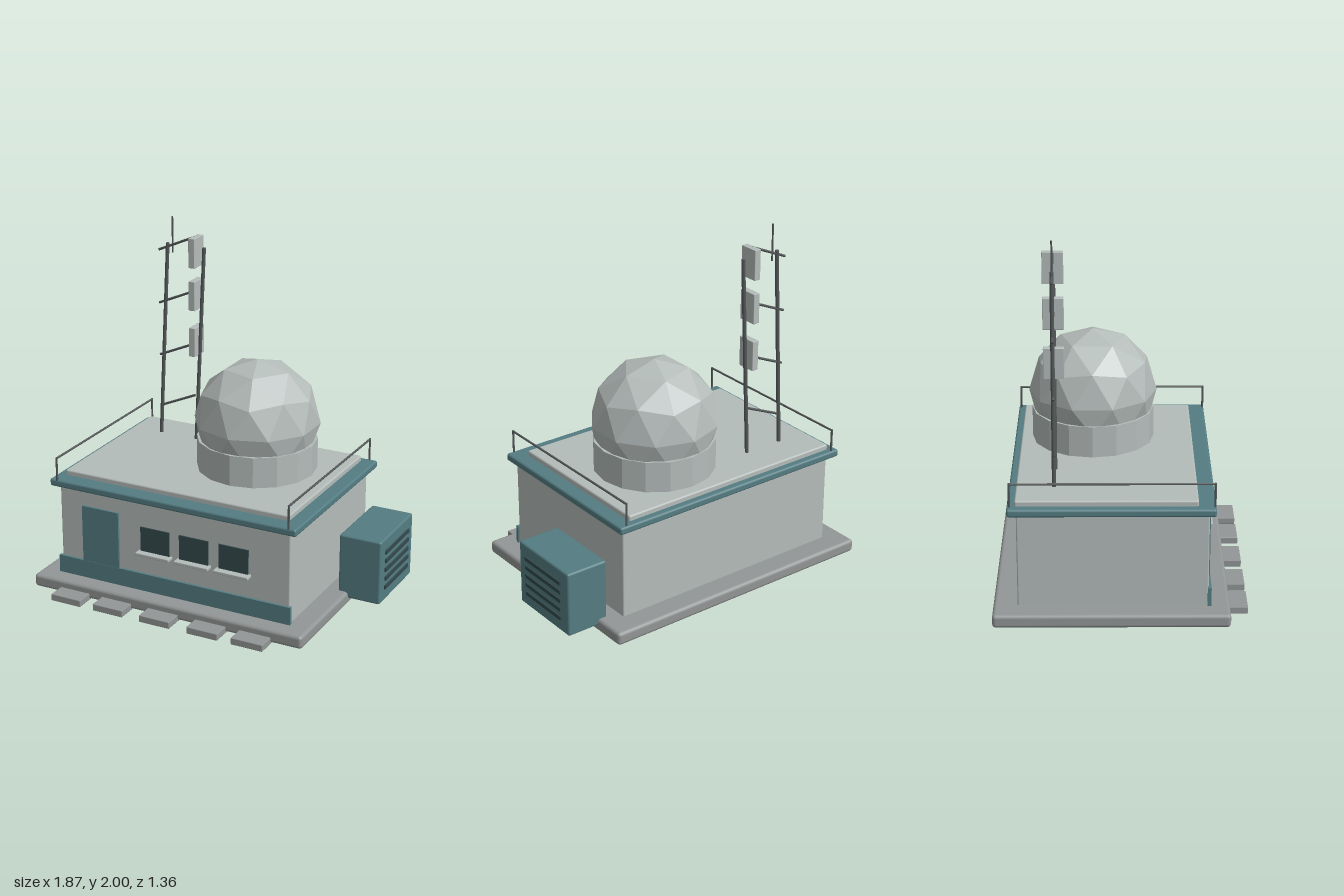
import * as THREE from 'three';
import { RoundedBoxGeometry } from 'three/addons/geometries/RoundedBoxGeometry.js';

const mat = (name, color) => {
  const m = new THREE.MeshStandardMaterial({ color });
  m.name = name;
  return m;
};

export function createModel() {
  const light = mat('light grey', 0xb4bcba);
  const concrete = mat('concrete grey', 0x939696);
  const teal = mat('teal', 0x547d83);
  const darkTeal = mat('dark teal', 0x344a4d);
  const metal = mat('dark metal', 0x55595a);

  const model = new THREE.Group();
  model.name = 'radarStation';

  const add = (name, geometry, material, parent = model) => {
    const mesh = new THREE.Mesh(geometry, material);
    mesh.name = name;
    parent.add(mesh);
    return mesh;
  };
  const group = (name) => {
    const g = new THREE.Group();
    g.name = name;
    model.add(g);
    return g;
  };
  // Box given by its limits on each axis; a radius rounds its edges
  const box = (name, [x0, x1], [y0, y1], [z0, z1], material, radius = 0, parent = model) => {
    const size = [x1 - x0, y1 - y0, z1 - z0];
    const geometry = radius
      ? new RoundedBoxGeometry(...size, 2, radius)
      : new THREE.BoxGeometry(...size);
    const mesh = add(name, geometry, material, parent);
    mesh.position.set((x0 + x1) / 2, (y0 + y1) / 2, (z0 + z1) / 2);
    return mesh;
  };
  // Round bar between two points
  const rod = (name, from, to, radius, parent) => {
    const a = new THREE.Vector3(...from), b = new THREE.Vector3(...to);
    const dir = b.clone().sub(a);
    const mesh = add(name, new THREE.CylinderGeometry(radius, radius, dir.length(), 8), metal, parent);
    mesh.position.copy(a).add(b).multiplyScalar(0.5);
    mesh.quaternion.setFromUnitVectors(new THREE.Vector3(0, 1, 0), dir.normalize());
  };
  const faceted = (geometry) => {
    const g = geometry.index ? geometry.toNonIndexed() : geometry;
    g.computeVertexNormals();
    return g;
  };

  // Foundation and paving stones
  box('foundation', [-0.935, 0.74], [0.007, 0.082], [-0.68, 0.575], concrete, 0.02);
  const paving = group('pavingStones');
  for (const x of [-0.665, -0.395, -0.1, 0.195, 0.465]) {
    box('pavingStone', [x - 0.094, x + 0.094], [0, 0.04], [0.55, 0.675], concrete, 0.004, paving);
  }

  // Building
  box('walls', [-0.812, 0.615], [0.07, 0.62], [-0.55, 0.46], light, 0.008);
  box('plinthBand', [-0.825, 0.625], [0.08, 0.185], [0.455, 0.475], teal);
  box('door', [-0.667, -0.435], [0.08, 0.518], [0.455, 0.473], teal);
  const windows = group('windows');
  for (const x of [-0.205, 0.037, 0.28]) {
    box('windowPane', [x - 0.09, x + 0.09], [0.318, 0.465], [0.461, 0.469], darkTeal, 0, windows);
    box('windowSill', [x - 0.105, x + 0.105], [0.304, 0.322], [0.455, 0.507], light, 0.004, windows);
  }

  // Roof
  box('roofTrim', [-0.86, 0.66], [0.61, 0.653], [-0.597, 0.493], teal, 0.012);
  box('roofSlab', [-0.812, 0.577], [0.64, 0.683], [-0.557, 0.402], light, 0.01);
  for (const x of [-0.815, 0.615]) {
    const rail = group('roofRail');
    rod('railBar', [x, 0.78, -0.585], [x, 0.78, 0.488], 0.006, rail);
    for (const z of [-0.583, 0.486]) {
      rod('railPost', [x, 0.645, z], [x, 0.785, z], 0.006, rail);
    }
  }

  // Radar dome on its drum
  const radar = group('radarDome');
  radar.position.set(0.11, 0, -0.155);
  add('domeDrum', faceted(new THREE.CylinderGeometry(0.34, 0.34, 0.19, 16)), light, radar).position.y = 0.765;
  const dome = new THREE.IcosahedronGeometry(0.3565, 1);
  dome.rotateZ(-0.5536); // put a corner at the top
  add('dome', faceted(dome), light, radar).position.y = 0.9585;

  // Ventilation unit with slats
  const unit = group('ventilationUnit');
  box('unitCase', [0.68, 0.929], [0.045, 0.422], [-0.49, -0.032], teal, 0.012, unit);
  for (let i = 0; i < 5; i++) {
    const y = 0.127 + i * 0.0535;
    box('ventSlat', [0.925, 0.937], [y - 0.011, y + 0.011], [-0.425, -0.094], darkTeal, 0, unit);
  }

  // Leaning ladder mast with aerials
  const mast = group('mast');
  const z = -0.355;
  for (const x of [-0.622, -0.388]) {
    rod('mastLeg', [x, 0.67, z], [x + 0.058, 1.843, z], 0.011, mast);
  }
  for (let i = 0; i < 4; i++) {
    const y = 0.852 + i * 0.315;
    rod('mastRung', [-0.622, y, z], [-0.393, y + 0.1, z], 0.007, mast);
  }
  for (const y of [1.29, 1.565, 1.815]) {
    box('aerialPanel', [-0.403, -0.364], [y - 0.086, y + 0.086], [-0.412, -0.3], light, 0.003, mast);
  }
  rod('whipAerial', [-0.532, 1.79, z], [-0.532, 2, z], 0.005, mast);

  return model;
}
